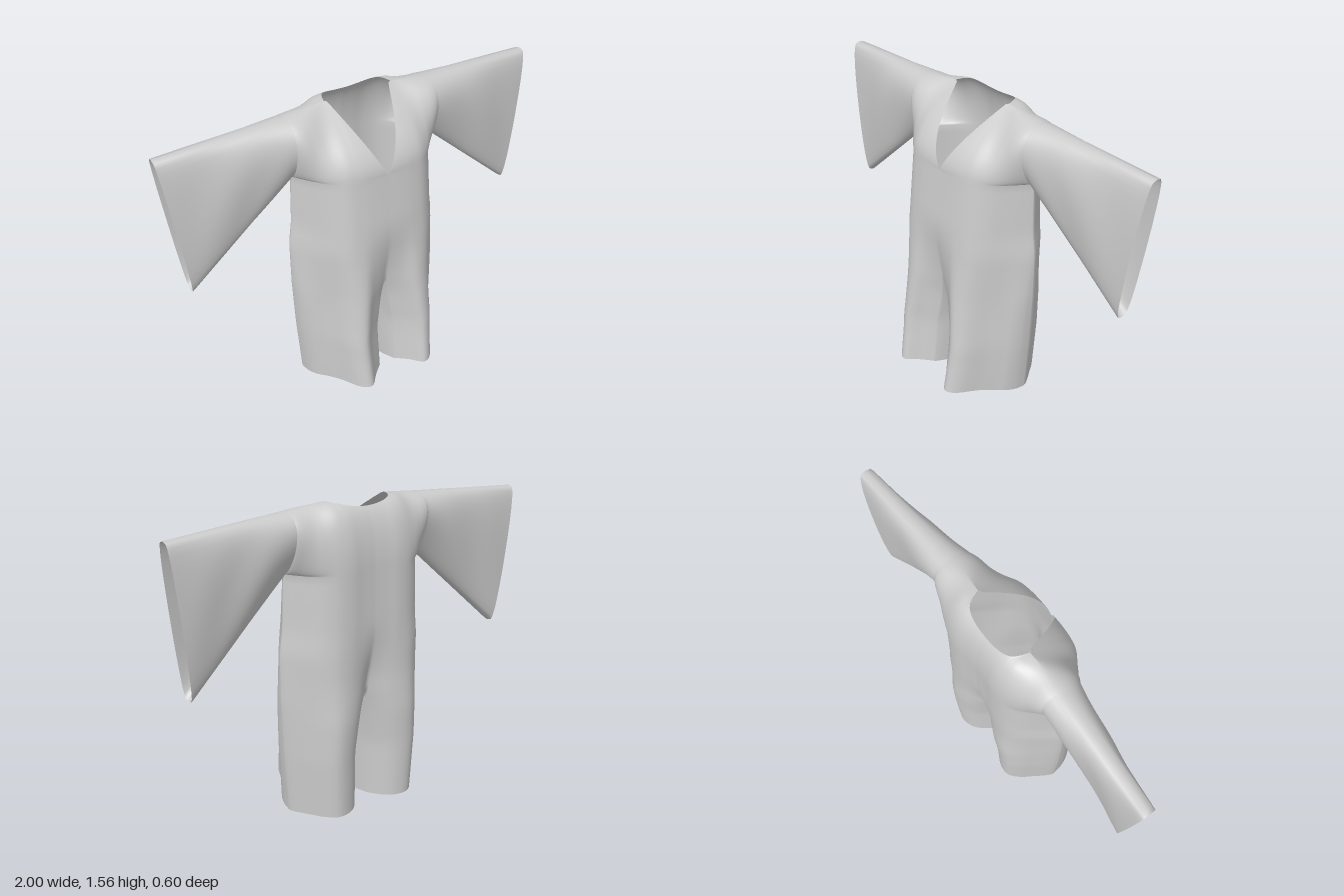
import * as THREE from 'three';
import { mergeVertices } from 'three/addons/utils/BufferGeometryUtils.js';

const { lerp, smoothstep, clamp } = THREE.MathUtils;
const HALF = Math.PI / 2;
const COLS = 40;      // stations from the centre line to the side
const ROWS = 31;      // rows from hem to underarm
const CROTCH = 15;    // row where the legs join
const ARCH = 16;      // steps from underarm level to shoulder top
const UNDERARM = 1.24;
const SIDE = -0.07;   // depth of the side seams
const RIDGE = -0.1;   // depth of the shoulder line
const NECK = 0.17;    // half width of the neck opening

// Piecewise linear lookup in [key, value] pairs
function table(pairs, k) {
  for (let i = 1; i < pairs.length; i++) {
    const [a, va] = pairs[i - 1], [b, vb] = pairs[i];
    if (k <= b) return lerp(va, vb, clamp((k - a) / (b - a), 0, 1));
  }
  return pairs[pairs.length - 1][1];
}

// Greatest half width and depths by height
const WIDTH = [[0, 0.38], [0.3, 0.4], [0.6, 0.412], [0.85, 0.412], [0.97, 0.395], [1.24, 0.385]];
const FRONT = [[0, 0.31], [0.2, 0.28], [0.4, 0.258], [0.6, 0.235], [0.8, 0.212], [1, 0.195], [1.24, 0.168]];
const BACK = [[0, -0.285], [0.5, -0.298], [0.7, -0.285], [1.24, -0.278]];

// Half sections from centre to side, as fractions of width and depth
const ACROSS = [0, 0.18, 0.36, 0.54, 0.7, 0.82, 0.92, 0.98, 1];
const section = depths => new THREE.SplineCurve(
  depths.map((d, i) => new THREE.Vector2(ACROSS[i], d)));
const CHEST_FRONT = section([1, 1, 0.98, 0.91, 0.71, 0.45, 0.21, 0.06, 0]);
const LEG_FRONT = section([0.66, 0.81, 0.97, 0.88, 0.59, 0.41, 0.28, 0.14, 0]);
const CHEST_BACK = section([0.95, 0.97, 1, 0.95, 0.78, 0.53, 0.26, 0.09, 0]);
const LEG_BACK = section([0.5, 0.84, 0.98, 0.97, 0.76, 0.49, 0.26, 0.1, 0]);

const shoulderY = x => 1.56 - 0.1 * Math.max(0, x - 0.15);

// How far the legs have parted: 0 at the crotch, 1 lower down
const parted = row => clamp(2 * (1 - row / CROTCH), 0, 1);

// The hem rises slightly toward the front
const hemLift = (z, y) => 0.05 * smoothstep(z, -0.1, 0.28) * Math.max(0, 1 - y / 0.4);

// Point of the body and legs; side is +1 for the front and -1 for the back
function bodyPoint(i, row, side) {
  const y = UNDERARM * row / ROWS, t = i / COLS;
  const leg = (side > 0 ? LEG_FRONT : LEG_BACK).getPoint(t);
  const chest = (side > 0 ? CHEST_FRONT : CHEST_BACK).getPoint(t);
  const depth = lerp(leg.y, chest.y, smoothstep(y, 0.45, 1));
  const z = SIDE + (table(side > 0 ? FRONT : BACK, y) - SIDE) * depth;
  const x = lerp(0.045 * parted(row), table(WIDTH, y), chest.x);
  return [x, y + hemLift(z, y), z];
}

// Sleeve fullness around the loop, wider toward the top near the armhole
function swell(psi, s) {
  const wave = Math.sin(2 * psi);
  const pear = lerp(0.7 + 0.6 * Math.sin(psi) ** 2, 1, s);
  return pear * Math.sign(wave) * Math.pow(Math.abs(wave), lerp(1, 0.45, s));
}

// Yoke: arches from underarm level over the shoulder, cut short by the V neck
function yokePoint(i, j, side) {
  const [x, , z0] = bodyPoint(i, ROWS, side);
  const n = Math.min(1, x / NECK);
  const end = side > 0 ? Math.asin(n) : Math.acos(0.42 * Math.sqrt(1 - n * n));
  const psi = end * j / ARCH;
  const k = smoothstep(x, 0.18, 0.375);
  const rise = Math.pow(Math.sin(psi), 1 + k);
  const drop = Math.pow(Math.max(0, Math.cos(psi)), lerp(side > 0 ? 2.2 : 0.6, 2, k));
  const z = RIDGE + (z0 - RIDGE) * drop + side * k * 0.1 * swell(psi, 0);
  return [x, UNDERARM + (shoulderY(x) - UNDERARM) * rise, z];
}

// Flared sleeve: loops from the armhole to a slanted, slot-shaped cuff
function sleevePoint(u, v) {
  const s = u / 24, psi = HALF * v / ARCH, up = Math.sin(psi) ** 2;
  const low = [lerp(0.385, 0.92, s), lerp(UNDERARM, 0.76, s), lerp(SIDE, -0.115, s)];
  const top = [lerp(0.385, 1, s), lerp(shoulderY(0.385), 1.5, s), lerp(RIDGE, -0.133, s)];
  const crease = 0.006 * Math.sin(Math.PI * s) * Math.sin(9 * s + 5 * up) * Math.sin(2 * psi) ** 2;
  const z = lerp(low[2], top[2], up) + lerp(0.1, 0.054, s) * swell(psi, s) + crease;
  return [lerp(low[0], top[0], up), lerp(low[1], top[1], up), z];
}

// Inside of the leg, bowed toward the other leg, from front edge to back edge
function inseamPoint(u, row) {
  const a = bodyPoint(0, row, 1), b = bodyPoint(0, row, -1);
  const z = lerp(a[2], b[2], u / 10), y = UNDERARM * row / ROWS;
  const x = lerp(0.01 * (1 - row / CROTCH), a[0], (u / 5 - 1) ** 2);
  return [x, y + hemLift(z, y), z];
}

export function createModel() {
  const positions = [], index = [], parts = [];

  // Adds a grid of quads; mirror flips x and the winding
  function grid(fn, uCount, v0, v1, flip, mirror) {
    const base = positions.length / 3, stride = v1 - v0 + 1;
    for (let u = 0; u <= uCount; u++) {
      for (let v = v0; v <= v1; v++) {
        const [x, y, z] = fn(u, v);
        positions.push(mirror ? -x : x, y, z);
      }
    }
    for (let u = 0; u < uCount; u++) {
      for (let v = 0; v < v1 - v0; v++) {
        const a = base + u * stride + v, b = a + stride, c = b + 1, d = a + 1;
        if (flip !== mirror) index.push(a, c, b, a, d, c);
        else index.push(a, b, c, a, c, d);
      }
    }
  }

  function part(name, build) {
    const start = index.length;
    build();
    parts.push({ name, start, end: index.length });
  }

  const faces = [[1, false], [-1, true]];
  for (const mirror of [false, true]) {
    const label = mirror ? 'right' : 'left';
    part(label + 'Leg', () => {
      for (const [side, flip] of faces) {
        grid((i, r) => bodyPoint(i, r, side), COLS, 0, CROTCH, flip, mirror);
      }
      grid(inseamPoint, 10, 0, CROTCH, true, mirror);
    });
    part(label + 'Bodice', () => {
      for (const [side, flip] of faces) {
        grid((i, r) => bodyPoint(i, r, side), COLS, CROTCH, ROWS, flip, mirror);
      }
    });
    part(label + 'Yoke', () => {
      for (const [side, flip] of faces) {
        grid((i, j) => yokePoint(i, j, side), COLS, 0, ARCH, flip, mirror);
      }
    });
    part(label + 'Sleeve', () => grid(sleevePoint, 24, 0, 2 * ARCH, false, mirror));
  }

  // Weld all parts so the normals stay smooth across the seams
  const raw = new THREE.BufferGeometry();
  raw.setAttribute('position', new THREE.Float32BufferAttribute(positions, 3));
  raw.setIndex(index);
  const cloth = mergeVertices(raw, 1e-4);
  cloth.computeVertexNormals();
  const welded = Array.from(cloth.index.array);

  const material = new THREE.MeshStandardMaterial({ color: 0xcccccc, side: THREE.DoubleSide });
  const garment = new THREE.Group();
  garment.name = 'garment';
  for (const { name, start, end } of parts) {
    const geometry = new THREE.BufferGeometry();
    geometry.setAttribute('position', cloth.getAttribute('position'));
    geometry.setAttribute('normal', cloth.getAttribute('normal'));
    geometry.setIndex(welded.slice(start, end));
    const mesh = new THREE.Mesh(geometry, material);
    mesh.name = name;
    garment.add(mesh);
  }
  return garment;
}
